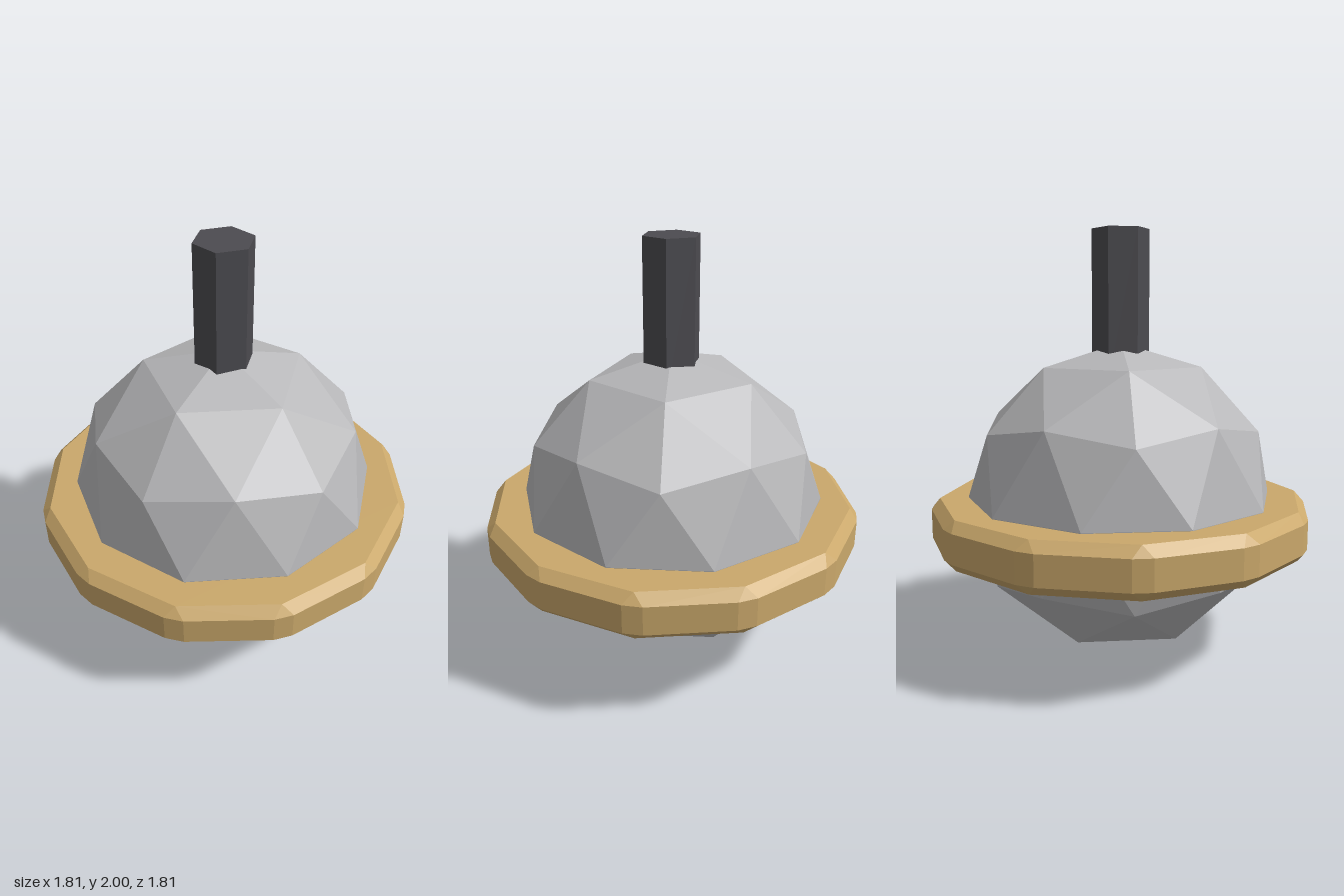
import * as THREE from 'three';
import { ConvexGeometry } from 'three/addons/geometries/ConvexGeometry.js';

function flat(name, color) {
  const m = new THREE.MeshStandardMaterial({ color, flatShading: true });
  m.name = name;
  return m;
}

function part(group, name, geometry, material, y) {
  const mesh = new THREE.Mesh(geometry, material);
  mesh.name = name;
  mesh.position.y = y;
  group.add(mesh);
}

// Twelve-sided disc with every edge and corner bevelled by the same width
function bevelledDisc(sides, radius, height, bevel) {
  const half = Math.PI / sides;
  const capRadius = radius - bevel / Math.cos(half);
  const cutRadius = radius - bevel * Math.sin(half);
  const cutSide = bevel * Math.cos(half);
  const axis = new THREE.Vector3(0, 1, 0);
  const points = [];
  for (let i = 0; i < sides; i++) {
    const corner = [];
    for (const s of [-1, 1]) {
      corner.push(new THREE.Vector3(capRadius, s * height / 2, 0));
      for (const t of [-1, 1]) {
        corner.push(new THREE.Vector3(cutRadius, s * (height / 2 - bevel), t * cutSide));
      }
    }
    for (const p of corner) points.push(p.applyAxisAngle(axis, i * 2 * half));
  }
  return new ConvexGeometry(points);
}

export function createModel() {
  const group = new THREE.Group();
  const grey = flat('light grey', 0xb8b8ba);
  const gold = flat('gold', 0xcaa86b);
  const dark = flat('dark grey', 0x4c4b50);

  // Faceted ball, turned so a corner points straight up
  const ball = new THREE.IcosahedronGeometry(0.736, 1);
  ball.rotateZ(Math.atan(2 / (1 + Math.sqrt(5))));
  part(group, 'ball', ball, grey, 0.737);

  // Bevelled band around the middle
  part(group, 'band', bevelledDisc(12, 0.918, 0.226, 0.045), gold, 0.622);

  // Six-sided rod standing in the top of the ball
  part(group, 'rod', new THREE.CylinderGeometry(0.136, 0.136, 0.7, 6), dark, 1.65);

  return group;
}
